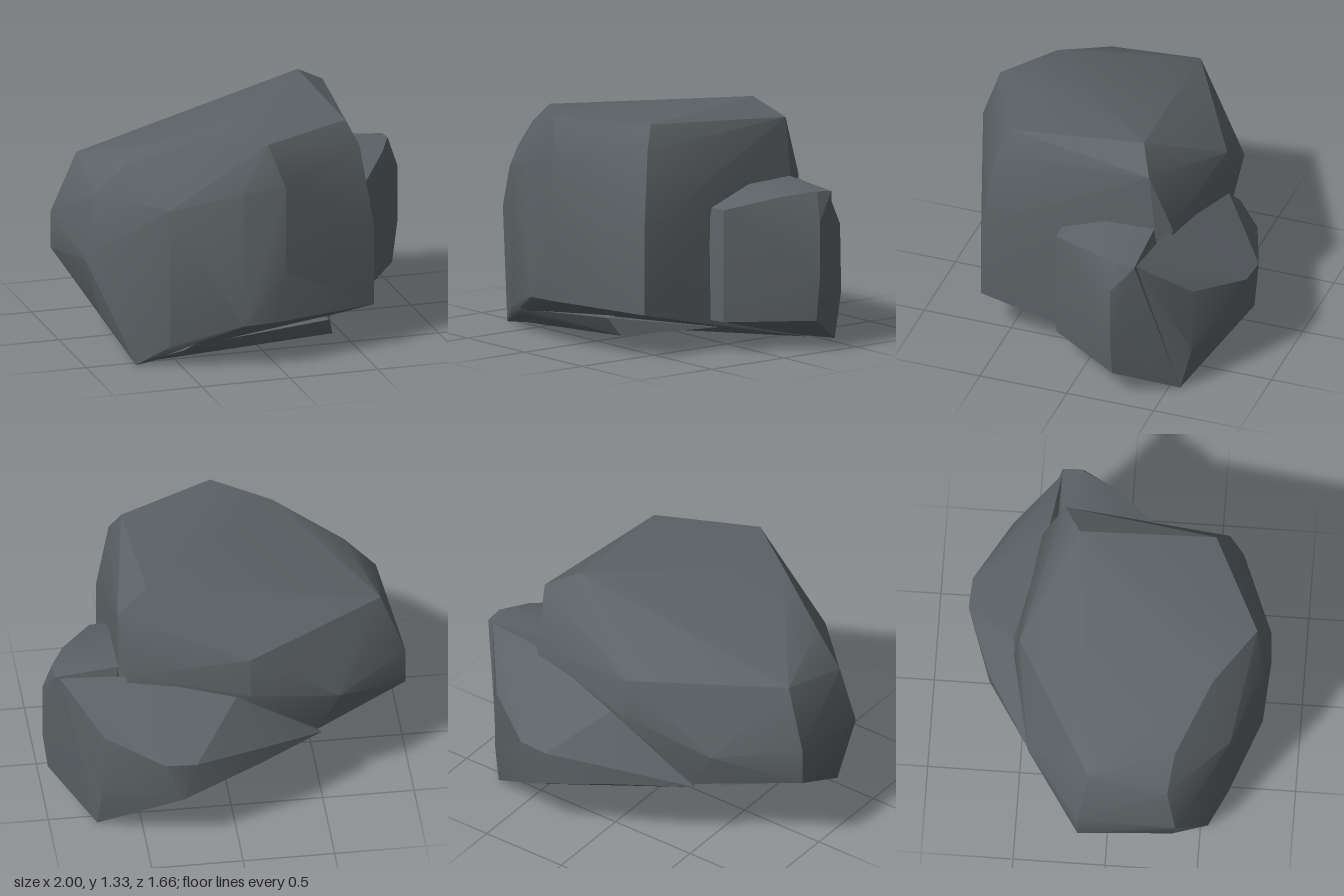
import * as THREE from 'three';
import { ConvexGeometry } from 'three/addons/geometries/ConvexGeometry.js';
import { toCreasedNormals } from 'three/addons/utils/BufferGeometryUtils.js';

const stone = new THREE.MeshStandardMaterial({ color: 0x5c6266 });
stone.name = 'slate grey';

// A chiselled stone: hull of its corner points, softened across shallow edges
function rock(name, corners) {
  const hull = new ConvexGeometry(corners.map((c) => new THREE.Vector3(...c)));
  const mesh = new THREE.Mesh(toCreasedNormals(hull, 0.45), stone);
  mesh.name = name;
  return mesh;
}

export function createModel() {
  const group = new THREE.Group();
  group.name = 'rockCluster';

  // Large boulder: top slopes to the back left, underside is a keel running corner to corner
  group.add(rock('mainBoulder', [
    // top
    [0.6, 1.23, -0.33], [0.43, 1.33, -0.24], [-0.1, 1.0, -0.53], [-0.87, 1.03, -0.1],
    [-0.9, 0.92, 0.33], [-0.73, 1.09, 0.36], [-0.36, 1.26, 0.54], [-0.05, 1.26, 0.76],
    [0.47, 1.27, 0.5], [0.53, 1.14, 0.57],
    // front and sides
    [0.59, 0.7, 0.64], [0.59, 0.25, 0.64], [0.03, 1.03, 0.83], [0.03, 0.55, 0.83],
    [0, 0.26, 0.81], [-0.2, 0.25, 0.8], [-0.2, 1.0, 0.8], [-0.57, 0.12, 0.64],
    [-0.57, 0.9, 0.65], [-0.97, 0.58, 0.38], [-0.88, 0.25, 0.36],
    [-1, 0.69, -0.15], [-1, 0.48, -0.15],
    // back and underside
    [-0.1, 0.78, -0.56], [-0.6, 0.65, -0.45], [-0.48, 0.41, -0.42], [0.56, 0.9, -0.45],
    [-0.73, 0, 0.54], [0.6, 0, -0.46],
  ]));

  // Narrow upright stone against the right wall
  group.add(rock('sideRock', [
    [0.55, 0.7, 0.2], [0.55, 0.79, 0.18], [0.55, 0.17, 0.19], [0.69, 0.79, 0.17],
    [0.69, 0.17, 0.17], [0.87, 0.86, -0.1], [1, 0.72, -0.25], [1, 0.4, -0.25],
    [0.97, 0.17, -0.25], [0.95, 0.88, -0.27], [0.95, 0.87, -0.37], [0.6, 0.89, -0.08],
    [0.6, 0.9, -0.36], [0.74, 0, -0.56], [0.55, 0.01, -0.42],
  ]));

  // Wedge leaning against the back, its underside level with the boulder's
  group.add(rock('backRock', [
    [0.92, 0.86, -0.37], [0.6, 0.88, -0.42], [-0.02, 0.79, -0.57], [0.23, 0.55, -0.83],
    [0.4, 0.55, -0.82], [0.3, 0.32, -0.83], [0.71, 0.62, -0.62], [0.72, 0.25, -0.62],
    [0.74, 0, -0.56], [-0.14, 0.42, -0.69], [-0.14, 0.52, -0.69],
    [-0.5, 0.42, -0.46], [-0.4, 0.42, -0.3], [0.5, 0.1, -0.3],
  ]));

  // Thin slab running under the overhang, its tip breaking out at the back left
  group.add(rock('baseSlab', [
    [-0.49, 0.1, 0.66], [-0.45, 0.13, 0.68], [0.32, 0.2, 0.68], [0.36, 0.1, 0.62],
    [0.5, 0.1, 0.06], [-0.1, 0.08, 0.3], [-0.3, 0.07, 0.6], [-0.7, 0.01, 0.53],
    [0.2, 0.25, 0.1], [-0.48, 0.26, -0.19],
  ]));

  return group;
}
